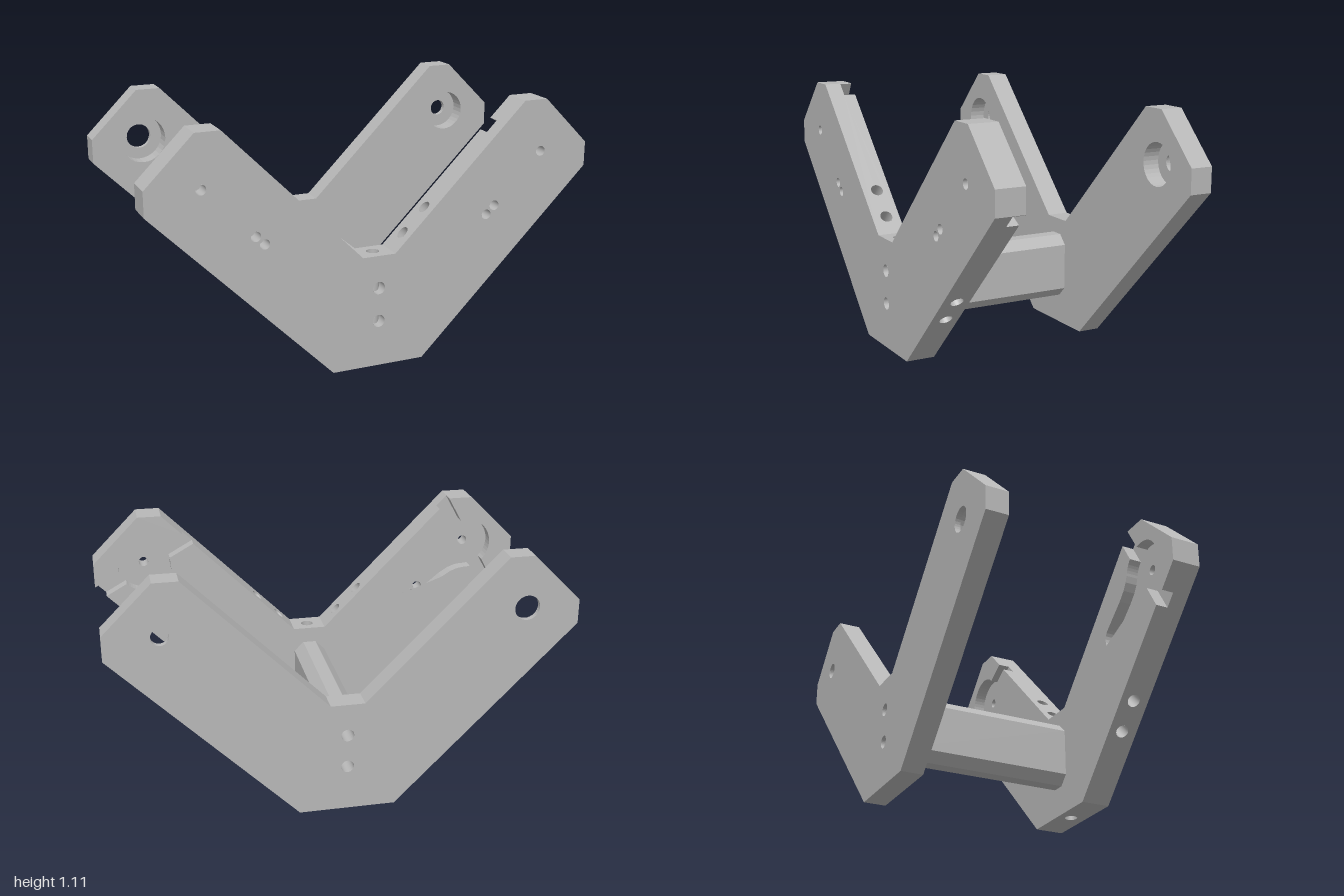
import * as THREE from 'three';

const metal = new THREE.MeshStandardMaterial({ color: 0xb8b8b8, side: THREE.DoubleSide });
metal.name = 'plain grey';

const C = 0.1075;                                  // the left and right arms are quarter turns about (0, C)
const turn = ([x, y]) => [C - y, x + C];
const OUTLINE = [[-0.21, 0], [0.21, 0], [1, 0.79], [1, 0.8975], [0.79, 1.1075], [0.6825, 1.1075],
  [0.075, 0.5], [-0.075, 0.5], [-0.6825, 1.1075], [-0.79, 1.1075], [-1, 0.8975], [-1, 0.79]];
const PIVOT = [0.77, 0.8775];
const BOLTS = [[0, 0.355, 0.028], [0, 0.205, 0.028]];
const PIN_HOLES = [[...PIVOT, 0.022], [0.548, 0.657, 0.022], [0.51, 0.62, 0.022]];
const Z0 = 0.36, ZP = 0.415, Z1 = 0.49, ZH = 0.422; // inner face, pocket floor, outer face, edge hole centre

const toShape = (pts, holes = []) => {
  const s = new THREE.Shape(pts.map(p => new THREE.Vector2(p[0], p[1])));
  for (const [x, y, r] of holes) {
    s.holes.push(new THREE.Path().absarc(x, y, r, 0, Math.PI * 2, true));
  }
  return s;
};

function add(group, name, geometry) {
  const mesh = new THREE.Mesh(geometry, metal);
  mesh.name = name;
  group.add(mesh);
  return mesh;
}

function face(group, name, pts, holes, z, back = false) {
  const g = new THREE.ShapeGeometry(toShape(pts, holes), 16);
  if (back) {                                      // turn the face toward -z
    const idx = g.index.array;
    for (let i = 0; i < idx.length; i += 3) [idx[i], idx[i + 1]] = [idx[i + 1], idx[i]];
    g.computeVertexNormals();
  }
  add(group, name, g.translate(0, 0, z));
}

function slab(group, name, pts, holes, z0, z1) {
  const g = new THREE.ExtrudeGeometry(toShape(pts, holes), { depth: z1 - z0, bevelEnabled: false, curveSegments: 16 });
  add(group, name, g.translate(0, 0, z0));
}

// Bore lining between two points
function bore(group, name, a, b, r) {
  const p = new THREE.Vector3(...a), d = new THREE.Vector3(...b).sub(p);
  const g = new THREE.CylinderGeometry(r, r, d.length(), 24, 1, true);
  const m = add(group, name, g);
  m.position.copy(p).addScaledVector(d, 0.5);
  m.quaternion.setFromUnitVectors(new THREE.Vector3(0, 1, 0), d.normalize());
}

// Edge wall of the front plate, with an optional notch and round holes along it
function edgeWall(group, p, q, notch, holes) {
  const d = new THREE.Vector3(q[0] - p[0], q[1] - p[1], 0), L = d.length();
  d.normalize();
  const along = a => (a[0] - p[0]) * d.x + (a[1] - p[1]) * d.y;
  const pts = [[0, Z0]];
  if (notch) {
    const [s0, s1] = notch.map(along).sort((a, b) => a - b);
    pts.push([s0, Z0], [s0, ZP], [s1, ZP], [s1, Z0]);
  }
  pts.push([L, Z0], [L, Z1], [0, Z1]);
  const g = new THREE.ShapeGeometry(toShape(pts, holes.map(h => [along(h), ZH, 0.028])), 16);
  const zAxis = new THREE.Vector3(0, 0, 1);
  g.applyMatrix4(new THREE.Matrix4().makeBasis(d, zAxis, d.clone().cross(zAxis)).setPosition(p[0], p[1], 0));
  add(group, 'edgeWall', g);
}

// Pocket side wall along a path
function pocketWall(group, path) {
  const pos = [];
  for (let i = 0; i + 1 < path.length; i++) {
    const [a, b] = [path[i], path[i + 1]];
    pos.push(...a, Z0, ...b, Z0, ...b, ZP, ...a, Z0, ...b, ZP, ...a, ZP);
  }
  const g = new THREE.BufferGeometry();
  g.setAttribute('position', new THREE.Float32BufferAttribute(pos, 3));
  g.computeVertexNormals();
  add(group, 'pocketWall', g);
}

// Tip-side and body-side borders of the left arm's pocket: cross slot, round seat and lever slot
function pocketBorders() {
  const t = -29 * Math.PI / 180, c = Math.cos(t), s = Math.sin(t), h = 0.032, R = 0.12;
  const P = (u, v) => [PIVOT[0] + u * c - v * s, PIVOT[1] + u * s + v * c];
  const edge = (v, side) => P((v * (c + s) + side * 0.3175) / (c - s), v);
  const arc = (a0, a1, n) => Array.from({ length: n + 1 }, (_, i) => {
    const a = a0 + (a1 - a0) * i / n;
    return P(R * Math.cos(a), R * Math.sin(a));
  });
  const a = Math.asin(h / R), lever = -100 * Math.PI / 180, shoulder = Math.atan2(0.09, 0.08);
  const Lp = (w, k) => P(w * Math.cos(lever) - k * Math.sin(lever), w * Math.sin(lever) + k * Math.cos(lever));
  const neck = [[0.105, 0.074], [0.14, 0.062], [0.19, 0.056]];
  const end = Array.from({ length: 13 }, (_, i) => {
    const b = Math.PI / 2 - Math.PI * i / 12;
    return Lp(0.33 + 0.056 * Math.cos(b), 0.056 * Math.sin(b));
  });
  const far = [edge(h, -1), ...arc(Math.PI - a, a, 20), edge(h, 1)];
  const near = [edge(-h, 1), ...arc(-a, lever + shoulder, 6),
    ...neck.map(([w, k]) => Lp(w, k)), ...end, ...neck.map(([w, k]) => Lp(w, -k)).reverse(),
    ...arc(lever - shoulder, a - Math.PI, 4), edge(-h, -1)];
  return { far, near };
}

function frontPlate() {
  const g = new THREE.Group();
  g.name = 'frontPlate';
  const { far, near } = pocketBorders();
  const mirror = ([x, y, r]) => [-x, y, r];
  const tip = [[1, 0.79], [1, 0.8975], [0.79, 1.1075], [0.6825, 1.1075], ...far];
  const arms = [
    { map: p => p, pins: PIN_HOLES },
    { map: turn, pins: PIN_HOLES.map(mirror) }
  ];
  face(g, 'outerFace', OUTLINE, [...BOLTS, ...arms[0].pins, ...arms[1].pins], Z1);
  face(g, 'innerFace', [OUTLINE[0], OUTLINE[1], ...near, OUTLINE[6], OUTLINE[7], ...near.map(turn)], BOLTS, Z0, true);
  for (const { map, pins } of arms) {
    face(g, 'armTipFace', tip.map(map), [], Z0, true);
    face(g, 'pocketFloor', [...far, ...near].map(map), pins, ZP, true);
    pocketWall(g, far.map(map));
    pocketWall(g, near.map(map));
    for (const [x, y, r] of pins) bore(g, 'pinBore', [x, y, ZP], [x, y, Z1], r);
  }
  for (const [x, y, r] of BOLTS) bore(g, 'boltBore', [x, y, Z0], [x, y, Z1], r);

  // Cross bores from the upper to the lower edges, and one upright bore
  const lowNotch = [near[0], far[far.length - 1]], highNotch = [near[near.length - 1], far[0]];
  const notches = { 1: lowNotch, 5: highNotch, 7: lowNotch.map(turn), 11: highNotch.map(turn) };
  const drill = { 0: [[0, 0]], 1: [], 5: [], 6: [[0, 0.5]], 7: [], 11: [] };
  bore(g, 'uprightBore', [0, 0, ZH], [0, 0.5, ZH], 0.028);
  for (const x of [0.14, 0.242]) {
    const a = [x, x + 0.425], b = [x + 0.3175, x + 0.1075];
    drill[5].push(a);
    drill[1].push(b);
    drill[7].push(mirror(a));
    drill[11].push(mirror(b));
    for (const k of [1, -1]) bore(g, 'crossBore', [k * a[0], a[1], ZH], [k * b[0], b[1], ZH], 0.028);
  }
  OUTLINE.forEach((p, i) => edgeWall(g, p, OUTLINE[(i + 1) % 12], notches[i], drill[i] || []));
  return g;
}

function backPlate() {
  const g = new THREE.Group();
  g.name = 'backPlate';
  const [x, y] = PIVOT;
  slab(g, 'outerLayer', OUTLINE, [...BOLTS, [x, y, 0.037], [-x, y, 0.055]], -0.49, -0.465);
  slab(g, 'counterboredLayer', OUTLINE, [...BOLTS, [x, y, 0.093], [-x, y, 0.105]], -0.465, -0.39);
  return g;
}

export function createModel() {
  const model = new THREE.Group();
  model.name = 'doubleVBracket';
  model.add(frontPlate(), backPlate());
  // Chamfered beam joining the plates
  slab(model, 'connectingBeam', [[-0.03, 0.132], [0.03, 0.132], [0.073, 0.175], [0.073, 0.385],
    [0.03, 0.428], [-0.03, 0.428], [-0.073, 0.385], [-0.073, 0.175]], BOLTS, -0.39, Z0);
  return model;
}
